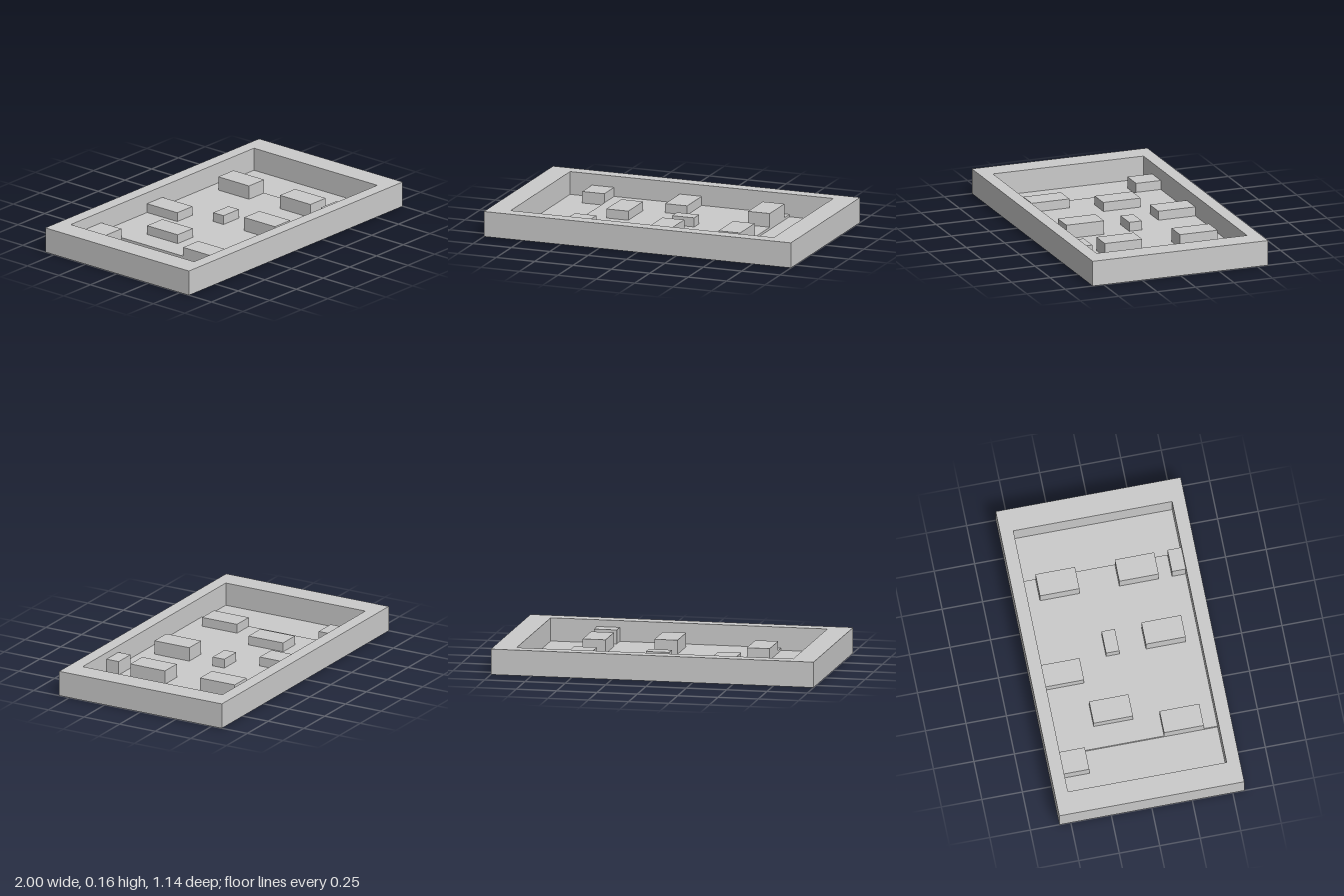
import * as THREE from 'three';

const material = new THREE.MeshStandardMaterial({ color: 0xcccccc, flatShading: true });

// Box given by its limits on each axis
function box(name, x0, x1, y0, y1, z0, z1) {
  const geometry = new THREE.BoxGeometry(x1 - x0, y1 - y0, z1 - z0);
  geometry.translate((x0 + x1) / 2, (y0 + y1) / 2, (z0 + z1) / 2);
  const mesh = new THREE.Mesh(geometry, material);
  mesh.name = name;
  return mesh;
}

function rectangle(PathType, x, z) {
  return new PathType([[-x, -z], [x, -z], [x, z], [-x, z]].map(p => new THREE.Vector2(...p)));
}

export function createModel() {
  const group = new THREE.Group();
  group.name = 'walledTray';

  const X = 1, Z = 0.571, HEIGHT = 0.157;
  const INNER_X = 0.857, INNER_Z = 0.49;
  const FLOOR = 0.014, PANEL = 0.029;
  const LOW = 0.086, TALL = 0.115;

  // Surrounding wall: a rectangular ring
  const ring = rectangle(THREE.Shape, X, Z);
  ring.holes.push(rectangle(THREE.Path, INNER_X, INNER_Z));
  const wallGeometry = new THREE.ExtrudeGeometry(ring, { depth: HEIGHT, bevelEnabled: false });
  wallGeometry.rotateX(-Math.PI / 2);
  const wall = new THREE.Mesh(wallGeometry, material);
  wall.name = 'wall';
  group.add(wall);

  // Floor inside the wall, with a slightly raised middle panel
  group.add(box('floor', -INNER_X, INNER_X, 0, FLOOR, -INNER_Z, INNER_Z));
  group.add(box('middlePanel', -0.571, 0.571, FLOOR, PANEL, -INNER_Z, INNER_Z));

  // Blocks standing on the floor: x0, x1, z0, z1, top
  const blocks = [
    [-0.715, -0.571, -0.49, -0.33, LOW],
    [-0.429, -0.286, -0.247, -0.004, LOW],
    [-0.143, 0, -0.49, -0.25, LOW],
    [0, 0.143, -0.086, -0.004, LOW],
    [-0.571, -0.429, 0.16, 0.405, LOW],
    [0, 0.143, 0.16, 0.405, TALL],
    [0.429, 0.571, -0.41, -0.166, TALL],
    [0.429, 0.571, 0.08, 0.323, TALL],
    [0.429, 0.571, 0.405, 0.49, TALL],
  ];
  blocks.forEach(([x0, x1, z0, z1, top], i) => {
    group.add(box(`block${i + 1}`, x0, x1, FLOOR, top, z0, z1));
  });

  return group;
}
